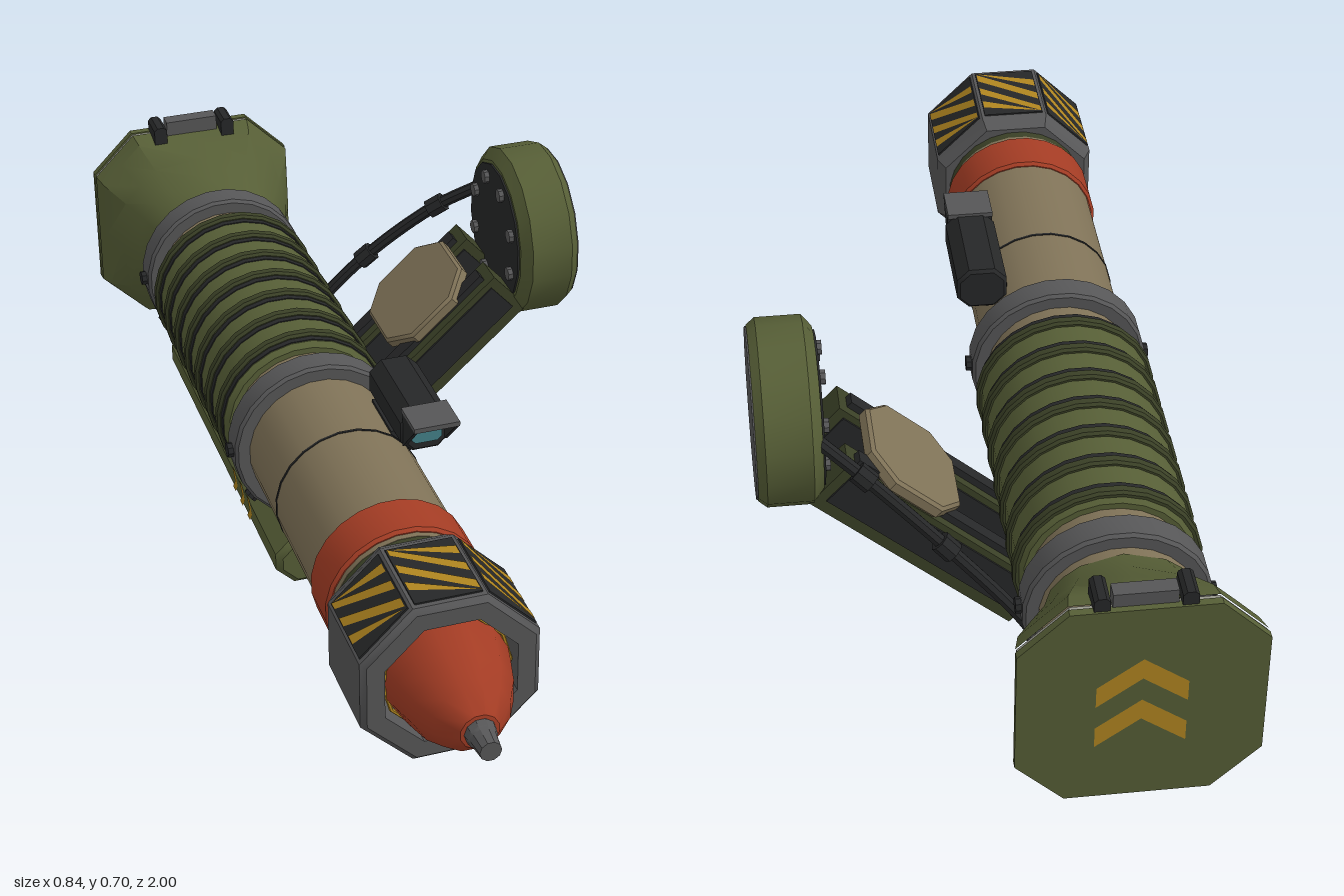
import * as THREE from 'three';
import { toCreasedNormals } from 'three/addons/utils/BufferGeometryUtils.js';

const mat = (color, side = THREE.FrontSide) => new THREE.MeshStandardMaterial({ color, side });
const OLIVE = mat(0x565e36), DEEP = mat(0x3a4026), TAN = mat(0x7f7257), RED = mat(0xa33c24);
const GREY = mat(0x565657), DARK = mat(0x262728), PALE = mat(0x96968c), TEAL = mat(0x438088);
const GOLD = mat(0xb08520, THREE.DoubleSide);
const AX = -0.203, AY = 0.337; // tube axis

function add(parent, name, geo, material, x = 0, y = 0, z = 0) {
  const m = new THREE.Mesh(toCreasedNormals(geo, 0.6), material);
  m.name = name;
  m.position.set(x, y, z);
  parent.add(m);
  return m;
}
const box = (w, h, d) => new THREE.BoxGeometry(w, h, d);

// Surface of revolution along z from [radius, z] pairs (outside runs towards +z)
function turned(pts, sides = 24) {
  return new THREE.LatheGeometry(pts.map(p => new THREE.Vector2(p[0], p[1])), sides, Math.PI / sides).rotateX(Math.PI / 2);
}
const drum = (r, z0, z1, sides, c = 0) => turned([[0, z0], [r - c, z0], [r, z0 + c], [r, z1 - c], [r - c, z1], [0, z1]]
  .filter((p, i, a) => !i || p[0] !== a[i - 1][0] || p[1] !== a[i - 1][1]), sides);

// Rectangle with cut corners, extruded from z0 to z1
function polygon(pts) {
  return new THREE.Shape(pts.map(p => new THREE.Vector2(p[0], p[1])));
}
function cutRect(w, h, c) {
  const a = w / 2, b = h / 2;
  return polygon([[a, -b + c], [a, b - c], [a - c, b], [-a + c, b], [-a, b - c], [-a, -b + c], [-a + c, -b], [a - c, -b]]);
}
function prism(w, h, c, z0, z1, bevel = 0) {
  return new THREE.ExtrudeGeometry(cutRect(w - 2 * bevel, h - 2 * bevel, c), {
    depth: z1 - z0 - 2 * bevel, bevelEnabled: bevel > 0, bevelSize: bevel, bevelThickness: bevel, bevelSegments: 1,
  }).translate(0, 0, z0 + bevel);
}
const chevron = (w, t) => new THREE.ShapeGeometry(polygon(
  [[-w / 2, -w / 4], [0, w / 8], [w / 2, -w / 4], [w / 2, t - w / 4], [0, t + w / 8], [-w / 2, t - w / 4]]));

// Flared rear: round collar blending into a cut-corner square
function flareGeometry() {
  const A = 0.218, F = 0.13, corners = [[A, 0], [A, F], [(A + F) / 2, (A + F) / 2], [F, A]];
  const ring = [];
  for (let q = 0; q < 4; q++) for (const [x, y] of corners) {
    const c = [1, 0, -1, 0][q], s = [0, 1, 0, -1][q];
    ring.push([x * c - y * s, x * s + y * c]);
  }
  const rows = [[-0.975, 0.217, 1], [-0.94, 0.21, 0.93], [-0.88, 0.186, 0.55], [-0.83, 0.164, 0.2], [-0.78, 0.148, 0]];
  const pos = [], idx = [], n = ring.length;
  for (const [z, r, k] of rows) for (const [x, y] of ring) {
    const l = Math.hypot(x, y), f = (r / l) * (1 - k) + (r / A) * k;
    pos.push(x * f, y * f, z);
  }
  for (let j = 0; j < rows.length - 1; j++) for (let i = 0; i < n; i++) {
    const a = j * n + i, b = j * n + (i + 1) % n;
    idx.push(a, b, a + n, b, b + n, a + n);
  }
  const g = new THREE.BufferGeometry();
  g.setAttribute('position', new THREE.Float32BufferAttribute(pos, 3));
  g.setIndex(idx);
  return g;
}

function buildTube(root) {
  const g = new THREE.Group();
  g.name = 'launchTube';
  g.position.set(AX, AY, 0);
  root.add(g);
  add(g, 'tubeBody', drum(0.144, -0.8, 0.56, 24), TAN);
  add(g, 'tubeSeam', drum(0.1455, 0.195, 0.2, 24), DARK);
  add(g, 'redBand', drum(0.152, 0.445, 0.548, 24, 0.006), RED);
  add(g, 'muzzleCollar', drum(0.143, 0.548, 0.6, 24), DEEP);

  // Ribbed sleeve
  add(g, 'sleeve', drum(0.166, -0.655, -0.095, 24, 0.01), OLIVE);
  for (let i = 0; i < 7; i++) {
    const z = -0.635 + i * 0.084;
    add(g, 'sleeveRib', drum(0.175, z - 0.012, z + 0.012, 24, 0.005), DEEP);
    add(g, 'sleeveGroove', drum(0.168, z + 0.012, z + 0.024, 24), DARK);
  }
  // Clamps with side bolts
  for (const z of [-0.73, -0.022]) {
    add(g, 'clamp', drum(0.173, z - 0.03, z + 0.03, 24, 0.006), GREY);
    for (let k = 0; k < 4; k++) {
      const a = [0, Math.PI, -0.7, Math.PI + 0.7][k];
      const bolt = new THREE.CylinderGeometry(0.015, 0.015, 0.022, 8).rotateZ(a - Math.PI / 2);
      add(g, 'clampBolt', bolt, DARK, Math.cos(a) * 0.171, Math.sin(a) * 0.171, z);
    }
  }

  // Octagonal muzzle with warning panels on the three upper faces
  const k = 1 / Math.cos(Math.PI / 8);
  add(g, 'muzzle', turned([[0.12 * k, 0.58], [0.15 * k, 0.58], [0.165 * k, 0.605], [0.165 * k, 0.79],
    [0.155 * k, 0.8], [0.122 * k, 0.8], [0.12 * k, 0.58]], 8), GREY);
  add(g, 'muzzleFloor', drum(0.128, 0.58, 0.72, 8), DARK);
  for (let f = -1; f <= 1; f++) {
    const panel = new THREE.Group();
    panel.name = 'warningPanel';
    panel.rotation.z = f * Math.PI / 4;
    g.add(panel);
    add(panel, 'panelPlate', box(0.124, 0.004, 0.165), DARK, 0, 0.166, 0.698);
    const fit = z => Math.min(0.16, Math.max(0, z));
    for (let i = 0; i < 4; i++) {
      const z = -0.06 + i * 0.053;
      const stripe = polygon([[-0.06, fit(z)], [0.06, fit(z + 0.085)], [0.06, fit(z + 0.11)], [-0.06, fit(z + 0.025)]]);
      add(panel, 'warningStripe', new THREE.ShapeGeometry(stripe).rotateX(Math.PI / 2), GOLD, 0, 0.1695, 0.618);
    }
  }

  // Warhead
  add(g, 'warhead', turned([[0.117, 0.7], [0.117, 0.77], [0.108, 0.81], [0.095, 0.86], [0.072, 0.905], [0.036, 0.945], [0, 0.95]], 12), RED);
  add(g, 'warheadRing', new THREE.TorusGeometry(0.118, 0.004, 6, 12), GOLD, 0, 0, 0.772);
  add(g, 'fuseTip', turned([[0.03, 0.94], [0.027, 0.96], [0.024, 0.965], [0.02, 1], [0, 1]], 10), GREY);

  // Flared rear end with cover
  add(g, 'rearFlare', flareGeometry(), OLIVE);
  add(g, 'coverSeal', prism(0.43, 0.43, 0.087, -0.985, -0.975), PALE);
  add(g, 'rearCover', prism(0.436, 0.436, 0.088, -0.999, -0.984), OLIVE);
  for (const y of [-0.055, 0.04]) add(g, 'coverChevron', chevron(0.16, 0.045), GOLD, 0, y, -1);
  // Cover latch
  add(g, 'latchBar', box(0.112, 0.032, 0.03), GREY, 0, 0.229, -0.972);
  for (const s of [-1, 1]) add(g, 'latchBracket', prism(0.028, 0.052, 0.007, -0.995, -0.935), DARK, s * 0.075, 0.219, 0);
}

function buildRail(root) {
  const g = new THREE.Group();
  g.name = 'lowerRail';
  g.position.x = AX;
  root.add(g);
  add(g, 'railBody', prism(0.229, 0.11, 0.03, -0.78, 0.08, 0.012), OLIVE, 0, 0.113);
  add(g, 'railMount', box(0.16, 0.04, 0.7), DARK, 0, 0.178, -0.31);
  add(g, 'battery', drum(0.043, -0.685, -0.345, 10, 0.006), GREY, 0, 0.043);
  add(g, 'batteryCap', drum(0.022, -0.345, -0.34, 10), DARK, 0, 0.043);
  add(g, 'batteryTray', box(0.07, 0.035, 0.21), DARK, 0, 0.047, -0.24);
  for (let i = 0; i < 3; i++) {
    const mark = chevron(0.05, 0.02).rotateZ(-Math.PI / 2).rotateY(-Math.PI / 2);
    add(g, 'railChevron', mark, GOLD, -0.1155, 0.113, -0.24 + i * 0.055);
  }
  // Aiming light under the tube
  add(g, 'aimingLight', drum(0.029, 0.3, 0.445, 12, 0.004), GREY, 0, 0.133);
  add(g, 'aimingLens', drum(0.024, 0.44, 0.448, 12), RED, 0, 0.133);
  add(g, 'aimingStem', box(0.04, 0.06, 0.035), GREY, 0, 0.178, 0.375);
  add(g, 'aimingFoot', box(0.07, 0.018, 0.06), DARK, 0, 0.196, 0.375);
}

function buildSight(root) {
  const g = new THREE.Group();
  g.name = 'sight';
  g.position.set(-0.06, 0.477, 0);
  root.add(g);
  add(g, 'sightBody', prism(0.098, 0.088, 0.02, 0.03, 0.235, 0.006), DARK);
  add(g, 'sightLens', prism(0.06, 0.048, 0.008, 0.23, 0.239), TEAL);
  add(g, 'hoodTop', box(0.09, 0.01, 0.08), GREY, 0, 0.045, 0.26);
  const cheek = polygon([[0.23, -0.03], [0.3, 0.042], [0.23, 0.042]]);
  for (const s of [-1, 1]) {
    const geo = new THREE.ExtrudeGeometry(cheek, { depth: 0.008, bevelEnabled: false }).rotateY(-Math.PI / 2);
    add(g, 'hoodCheek', geo, DARK, s * 0.041 + 0.004, 0, 0);
  }
  add(g, 'sightMount', box(0.05, 0.05, 0.12), DARK, -0.03, -0.045, 0.13);
  add(g, 'sightKnob', new THREE.CylinderGeometry(0.02, 0.02, 0.03, 10), DARK, 0.01, -0.055, 0.165);
}

function buildArm(root) {
  // Local x runs up the arm, local y is its upper side
  const g = new THREE.Group();
  g.name = 'arm';
  g.position.set(-0.047, 0.07, 0);
  g.rotation.z = Math.atan2(0.67, 0.742);
  root.add(g);
  for (const z of [-0.285, -0.455]) {
    add(g, 'armBeam', box(0.5, 0.108, 0.068), DEEP, 0.25, 0.054, z);
    for (const s of [-1, 1]) add(g, 'beamEdge', box(0.46, 0.07, 0.006), DARK, 0.25, 0.06, z + s * 0.035);
    add(g, 'beamTopRail', box(0.46, 0.015, 0.03), DARK, 0.25, 0.114, z);
  }
  add(g, 'armPad', prism(0.22, 0.23, 0.05, 0, 0.03, 0.006).rotateX(-Math.PI / 2), TAN, 0.35, 0.11, -0.38);

  // Round pod at the end of the arm
  const p = new THREE.Group();
  p.name = 'pod';
  p.position.set(0, 0.527, -0.366);
  p.rotation.y = Math.PI / 2;
  root.add(p);
  add(p, 'podShell', turned([[0, 0.296], [0.152, 0.296], [0.175, 0.315], [0.175, 0.4], [0.162, 0.416], [0, 0.416]], 16), OLIVE);
  add(p, 'podOuterFace', drum(0.16, 0.41, 0.419, 16), GREY);
  add(p, 'podInnerFace', drum(0.145, 0.292, 0.3, 16), DARK);
  for (let i = 0; i < 8; i++) {
    const a = (i + 0.5) * Math.PI / 4;
    add(p, 'podBolt', drum(0.014, 0.282, 0.295, 8), GREY, Math.cos(a) * 0.115, Math.sin(a) * 0.115);
  }

  // Cable from the rail to the pod, with collars
  const path = new THREE.CatmullRomCurve3([[-0.1, 0.13, -0.64], [-0.04, 0.23, -0.635], [0.07, 0.36, -0.61],
    [0.22, 0.5, -0.55], [0.31, 0.565, -0.5]].map(v => new THREE.Vector3(...v)));
  add(root, 'cable', new THREE.TubeGeometry(path, 28, 0.013, 8), DARK);
  for (const t of [0.06, 0.5, 0.82]) {
    const collar = add(root, 'cableCollar', drum(0.021, -0.018, 0.018, 8), DARK);
    collar.position.copy(path.getPointAt(t));
    collar.quaternion.setFromUnitVectors(new THREE.Vector3(0, 0, 1), path.getTangentAt(t));
  }
}

export function createModel() {
  const root = new THREE.Group();
  root.name = 'shoulderLauncher';
  buildTube(root);
  buildRail(root);
  buildSight(root);
  buildArm(root);
  return root;
}
